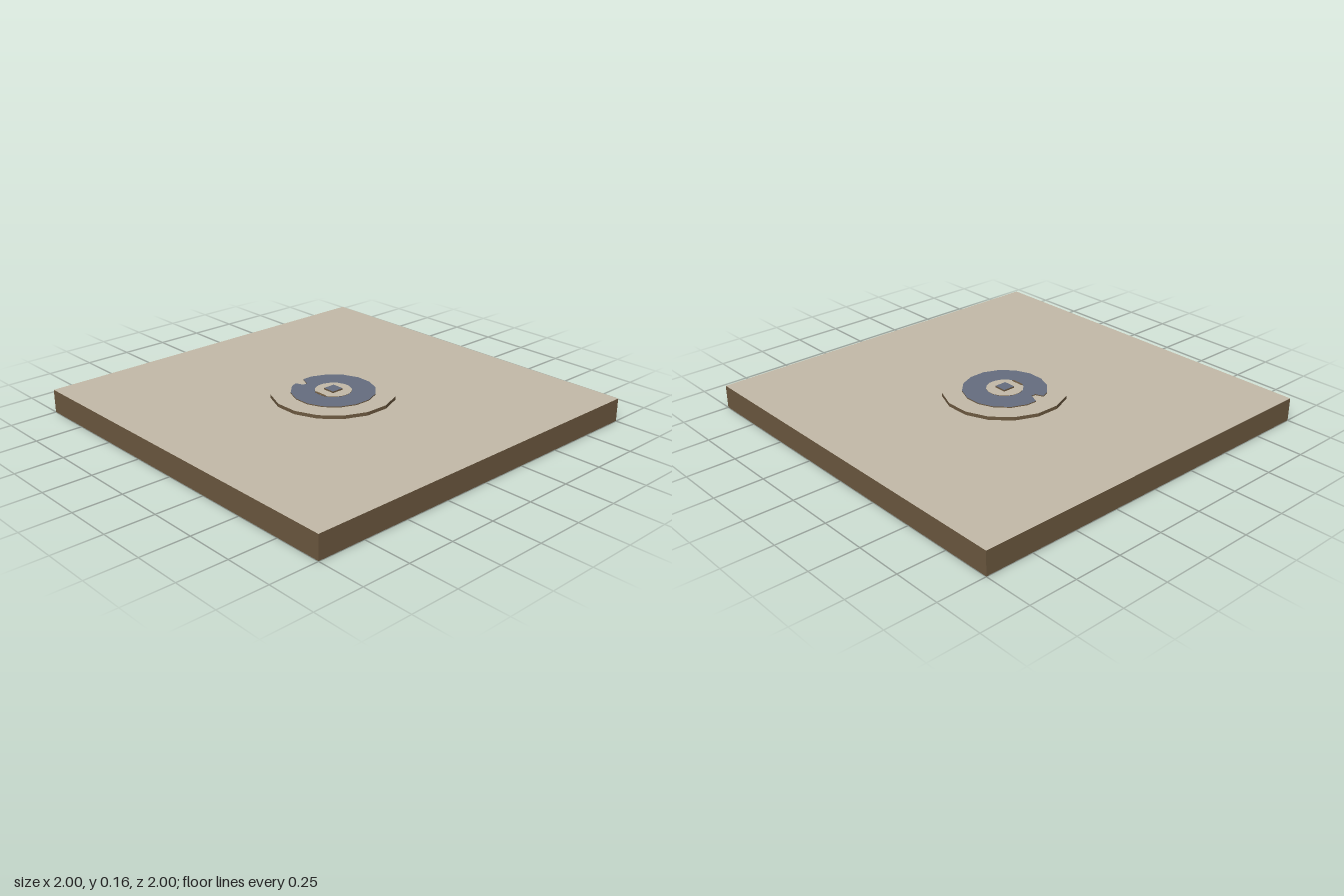
import * as THREE from 'three';

export function createModel() {
  const group = new THREE.Group();
  const material = (name, color) => {
    const m = new THREE.MeshStandardMaterial({ color });
    m.name = name;
    return m;
  };
  const beige = material('beige', 0xc4bba9);
  const brown = material('brown', 0x6d5940);
  const slate = material('slate blue', 0x666e80);

  const add = (name, geometry, materials, x, y, z) => {
    const mesh = new THREE.Mesh(geometry, materials);
    mesh.name = name;
    mesh.position.set(x, y, z);
    group.add(mesh);
    return mesh;
  };
  const boxFaces = (top) => [brown, brown, top, brown, brown, brown];

  // sixteen-sided disc with a flat edge facing front, brown rim and beige top
  const addDisc = (name, radius, bottom, top) => {
    const geometry = new THREE.CylinderGeometry(radius, radius, top - bottom, 16).toNonIndexed();
    geometry.rotateY(Math.PI / 16);
    geometry.computeVertexNormals();
    add(name, geometry, [brown, beige, brown], 0, (top + bottom) / 2, 0);
  };

  // square slab
  add('slab', new THREE.BoxGeometry(2, 0.121, 2), boxFaces(beige), 0, 0.0615, 0);

  // stepped round plate
  addDisc('plate', 0.315, 0.122, 0.14);
  addDisc('hub', 0.094, 0.14, 0.147);

  // ring with a notch on its right side
  const corner = (k, r) => {
    const a = (k + 0.5) * Math.PI / 8;
    return new THREE.Vector2(r * Math.cos(a), r * Math.sin(a));
  };
  const notch = [[-0.211, -0.015], [-0.155, -0.038], [-0.155, -0.064], [-0.195, -0.08]]
    .map(([x, y]) => new THREE.Vector2(x, y));
  const outline = [];
  const hole = [];
  for (let k = 0; k < 16; k++) {
    if (k === 8) outline.push(...notch);
    else outline.push(corner(k, 0.215));
    hole.push(corner(k, 0.094));
  }
  const shape = new THREE.Shape(outline);
  shape.holes.push(new THREE.Path(hole));
  const ring = new THREE.ExtrudeGeometry(shape, { depth: 0.005, bevelEnabled: false });
  ring.rotateX(-Math.PI / 2);
  add('ring', ring, [slate, brown], 0, 0.14, 0);

  // square centre stud and the small strip in front of it
  add('stud', new THREE.BoxGeometry(0.066, 0.009, 0.066), boxFaces(slate), 0, 0.1505, 0);
  add('strip', new THREE.BoxGeometry(0.07, 0.002, 0.012), brown, 0, 0.147, 0.086);

  // four small pads under the slab
  for (const x of [-0.32, 0.685]) {
    for (const z of [-0.697, 0.31]) {
      add('pad', new THREE.CylinderGeometry(0.014, 0.014, 0.002, 8), beige, x, 0.001, z);
    }
  }
  return group;
}
